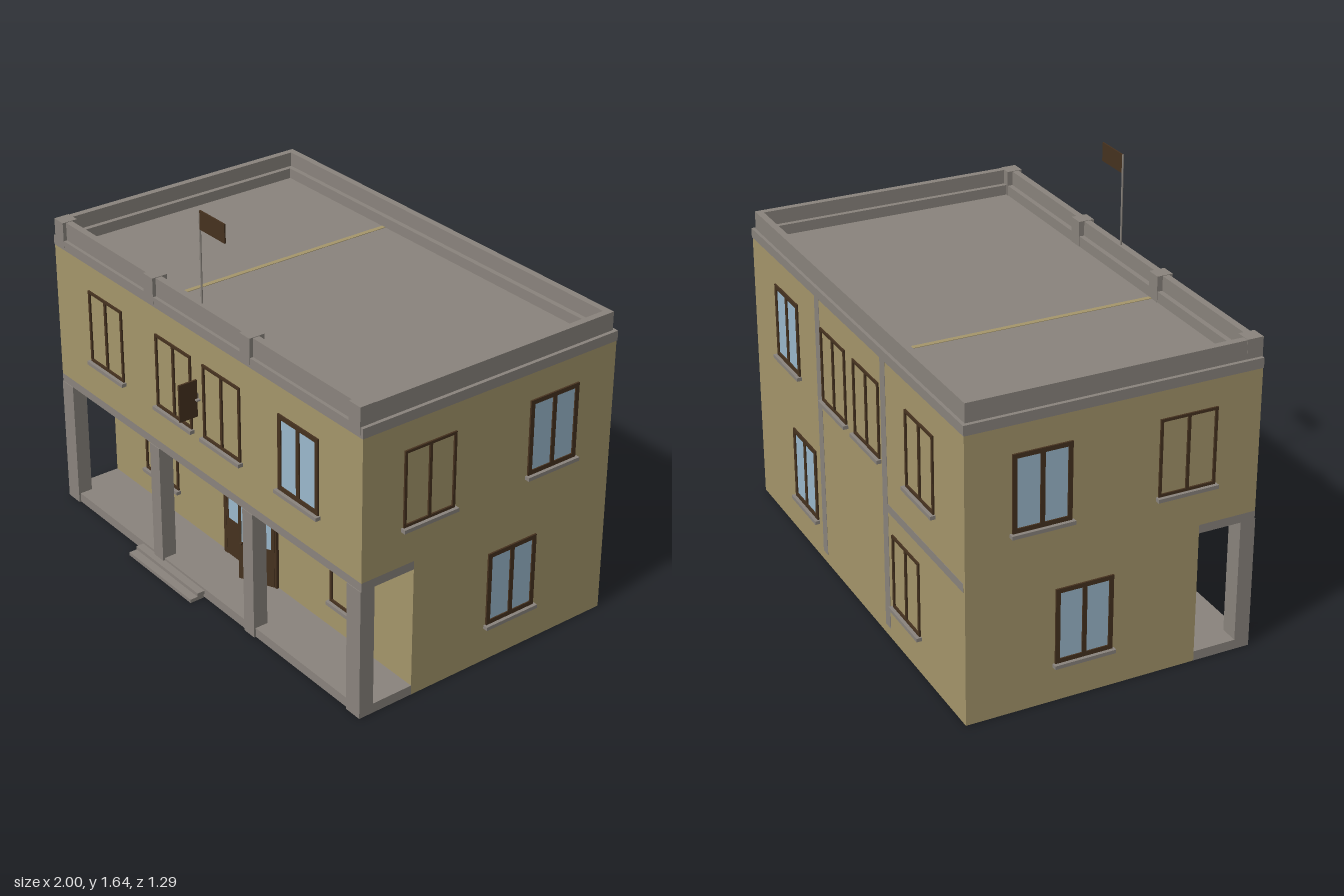
import * as THREE from 'three';

export function createModel() {
  const model = new THREE.Group();
  const mat = (name, color) => {
    const m = new THREE.MeshStandardMaterial({ color });
    m.name = name;
    return m;
  };
  const plaster = mat('tan plaster', 0xa5966b);
  const stone = mat('grey stone', 0x8a847d);
  const wood = mat('dark wood', 0x46321f);
  const glass = mat('blue glass', 0x9bb9cd);

  // Box given by its minimum and maximum on each axis
  function box(parent, name, material, x0, x1, y0, y1, z0, z1) {
    const mesh = new THREE.Mesh(new THREE.BoxGeometry(x1 - x0, y1 - y0, z1 - z0), material);
    mesh.position.set((x0 + x1) / 2, (y0 + y1) / 2, (z0 + z1) / 2);
    mesh.name = name;
    parent.add(mesh);
    return mesh;
  }
  function group(name, parent = model) {
    const g = new THREE.Group();
    g.name = name;
    parent.add(g);
    return g;
  }

  const W = 0.978, FRONT = 0.56, BACK = -0.62, PORCH = 0.322;

  // Walls: ground floor is set back behind an open porch
  box(model, 'groundFloorWalls', plaster, -W, W, 0, 0.58, BACK, PORCH);
  box(model, 'upperFloorWalls', plaster, -W, W, 0.58, 1.16, BACK, FRONT);
  box(model, 'cornice', stone, -W - 0.002, W + 0.002, 1.16, 1.172, BACK - 0.002, FRONT + 0.002);

  // Porch floor, ceiling and columns
  const porch = group('porch');
  box(porch, 'porchFloor', stone, -W, W, 0, 0.04, PORCH, 0.555);
  box(porch, 'porchCeiling', stone, -W, W, 0.545, 0.58, PORCH, FRONT);
  for (const [a, b] of [[0.275, 0.338], [0.9, W]]) {
    for (const s of [-1, 1]) {
      box(porch, 'porchColumn', stone, Math.min(s * a, s * b), Math.max(s * a, s * b), 0, 0.545, 0.5, FRONT + 0.003);
    }
  }

  // Steps
  const steps = group('steps');
  box(steps, 'lowerStep', stone, -0.43, 0, 0, 0.015, FRONT, 0.622);
  box(steps, 'upperStep', stone, -0.43, 0, 0.015, 0.03, 0.55, 0.588);

  // Outer rim, parapet and inner ledge around the roof
  const roof = group('roof');
  function ring(name, x, zb, zf, y0, y1, t) {
    const g = group(name, roof);
    for (const s of [-1, 1]) {
      box(g, name + 'Side', stone, s > 0 ? x - t : -x, s > 0 ? x : t - x, y0, y1, zb, zf);
    }
    box(g, name + 'Back', stone, t - x, x - t, y0, y1, zb, zb + t);
    box(g, name + 'Front', stone, t - x, x - t, y0, y1, zf - t, zf);
  }
  ring('roofRim', W + 0.002, BACK - 0.003, FRONT + 0.002, 1.165, 1.2, 0.03);
  ring('parapet', 0.965, -0.61, 0.548, 1.17, 1.275, 0.028);
  ring('innerLedge', 0.938, -0.583, 0.521, 1.17, 1.215, 0.022);
  for (const x of [-0.935, -0.307, 0.307, 0.935]) {
    box(roof, 'parapetPillar', stone, x - 0.031, x + 0.031, 1.17, 1.277, 0.497, 0.563);
  }
  box(roof, 'roofStripe', plaster, -0.3, -0.28, 1.171, 1.174, -0.56, 0.497);

  // Window centred on its bottom edge, facing +z
  function makeWindow(glazed) {
    const g = new THREE.Group();
    g.name = glazed ? 'glassWindow' : 'blindWindow';
    const w = 0.117, h = 0.31, t = glazed ? 0.018 : 0.011, d = 0.007, m = glazed ? 0.009 : 0.006;
    box(g, 'frameLeft', wood, w - t, w, 0, h, -0.01, d);
    box(g, 'frameRight', wood, -w, t - w, 0, h, -0.01, d);
    box(g, 'frameTop', wood, t - w, w - t, h - t, h, -0.01, d);
    box(g, 'frameBottom', wood, t - w, w - t, 0, t, -0.01, d);
    box(g, 'mullion', wood, -m, m, t, h - t, -0.01, d);
    box(g, 'sill', stone, -0.125, 0.125, -0.015, 0, -0.01, 0.021);
    if (glazed) box(g, 'pane', glass, t - w, w - t, t, h - t, -0.005, 0.002);
    return g;
  }
  const windows = group('windows');
  function addWindow(x, y, z, turn, glazed) {
    const g = makeWindow(glazed);
    g.position.set(x, y, z);
    g.rotation.y = turn;
    windows.add(g);
  }
  const UP = 0.74, LOW = 0.16;
  for (const x of [-0.62, -0.155, 0.155, 0.62]) {
    addWindow(x, UP, FRONT, 0, x > 0.5);
    addWindow(x, UP, BACK, Math.PI, x > 0.5);
  }
  for (const s of [-1, 1]) {
    addWindow(s * 0.62, LOW, PORCH, 0, false);
    addWindow(s * 0.485, LOW, BACK, Math.PI, s > 0);
    addWindow(s * W, UP, 0.26, s * Math.PI / 2, false);
    addWindow(s * W, UP, -0.322, s * Math.PI / 2, true);
    addWindow(s * W, LOW, -0.148, s * Math.PI / 2, true);
  }

  // Grey bands flush with the back wall
  const bands = group('backWallBands');
  for (const x of [-0.307, 0.307]) {
    box(bands, 'verticalBand', stone, x - 0.022, x + 0.022, 0.04, 1.16, BACK - 0.001, BACK + 0.01);
  }
  box(bands, 'horizontalBand', stone, -0.965, -0.329, 0.545, 0.58, BACK - 0.001, BACK + 0.01);

  // Double door, one leaf ajar
  const door = group('door');
  for (const s of [-1, 1]) {
    box(door, 'doorPost', wood, s * 0.165 - 0.009, s * 0.165 + 0.009, 0.04, 0.428, PORCH - 0.01, PORCH + 0.012);
  }
  box(door, 'doorHeader', wood, -0.156, 0.156, 0.412, 0.428, PORCH - 0.01, PORCH + 0.012);
  function makeLeaf(name, dir) {
    // The leaf runs from its hinge at x = 0 towards dir
    const leaf = group(name, door);
    const bar = (part, m, a, b, y0, y1, d) =>
      box(leaf, part, m, Math.min(dir * a, dir * b), Math.max(dir * a, dir * b), y0, y1, -d, d);
    bar('lowerPanel', wood, 0, 0.157, 0.042, 0.21, 0.005);
    bar('hingeStile', wood, 0, 0.013, 0.21, 0.412, 0.005);
    bar('outerStile', wood, 0.144, 0.157, 0.21, 0.412, 0.005);
    bar('topRail', wood, 0.013, 0.144, 0.4, 0.412, 0.005);
    bar('doorGlass', glass, 0.013, 0.144, 0.21, 0.4, 0.003);
    bar('handle', wood, 0.138, 0.148, 0.205, 0.211, 0.018);
    return leaf;
  }
  makeLeaf('closedLeaf', 1).position.set(-0.157, 0, PORCH + 0.006);
  const open = makeLeaf('openLeaf', -1);
  open.position.set(0.162, 0, PORCH + 0.01);
  open.rotation.y = 0.45;

  // Flagpole and flag
  const flag = group('flagpole');
  const pole = new THREE.Mesh(new THREE.CylinderGeometry(0.004, 0.004, 0.385, 8), stone);
  pole.name = 'pole';
  pole.position.set(0, 1.4525, 0.53);
  flag.add(pole);
  box(flag, 'flag', wood, 0, 0.155, 1.57, 1.645, 0.527, 0.533);

  // Hanging sign with a small wall bracket
  const sign = group('sign');
  box(sign, 'signBoard', wood, -0.004, 0.004, 0.815, 0.97, 0.565, 0.646);
  box(sign, 'signBracket', stone, -0.018, 0.018, 0.886, 0.892, 0.558, 0.576);
  box(sign, 'signBracket', stone, -0.003, 0.003, 0.878, 0.912, 0.558, 0.576);

  return model;
}
